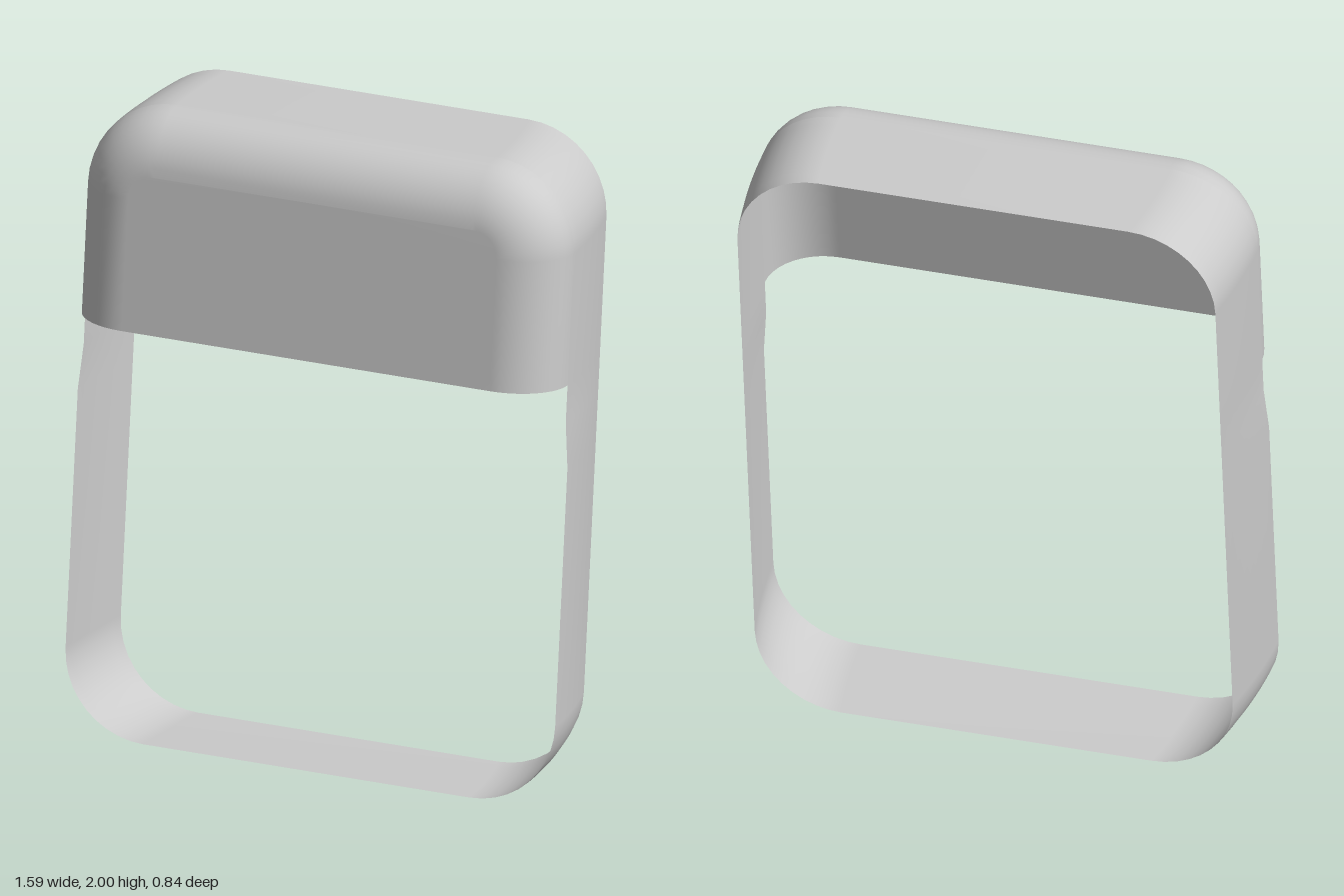
import * as THREE from 'three';

const CUT = 1.315;      // height of the cover's lower edge
const BACK = -0.047, RIM = 0.29, FRONT = 0.456;
const ARC = 10;         // segments per rounded corner
const CX = -0.016;      // centre of the frame across its width

// Rounded-rectangle outline, counterclockwise, starting at the right end of the cover edge.
// The lower side walls step out by flare.
function outline({ hx, top, bottom, r, flare = 0 }, z, coverOnly = false) {
  const pts = [];
  const add = (x, y) => pts.push(new THREE.Vector3(CX + x, y, z));
  const corner = (x, y, start) => {
    for (let i = 0; i <= ARC; i++) {
      const a = start + (i / ARC) * Math.PI / 2;
      add(x + r * Math.cos(a), y + r * Math.sin(a));
    }
  };
  add(hx, CUT);
  corner(hx - r, top - r, 0);
  corner(r - hx, top - r, Math.PI / 2);
  add(-hx, CUT);
  if (coverOnly) return pts;
  const wide = hx + flare;
  add(-hx, 1.2);
  add(-wide, 1.06);
  corner(r - wide, bottom + r, Math.PI);
  corner(wide - r, bottom + r, Math.PI * 1.5);
  add(wide, 1.06);
  add(hx, 1.2);
  return pts;
}

// Skin through successive outlines with shared, smooth vertices.
function loft(sections, closed) {
  const n = sections[0].length, index = [];
  for (let j = 0; j < sections.length - 1; j++) {
    for (let i = 0; i < (closed ? n : n - 1); i++) {
      const k = (i + 1) % n;
      const a = j * n + i, b = j * n + k, c = a + n, d = b + n;
      index.push(a, b, c, b, d, c);
    }
  }
  const g = new THREE.BufferGeometry().setFromPoints(sections.flat());
  g.setIndex(index);
  g.computeVertexNormals();
  return g;
}

export function createModel() {
  const model = new THREE.Group();
  const material = new THREE.MeshStandardMaterial({ color: 0xcccccc, side: THREE.DoubleSide });
  const addPart = (name, geometry) => {
    const mesh = new THREE.Mesh(geometry, material);
    mesh.name = name;
    model.add(mesh);
  };

  // Thin frame band, drawing in slightly toward the open back
  const band = [];
  for (let j = 0; j <= 8; j++) {
    const t = 1 - j / 8;
    band.push(outline({
      hx: 0.766 - 0.03 * t * t,
      top: 1.983 + 0.017 * t,
      bottom: -0.003 + 0.01 * t * t,
      r: 0.26,
      flare: 0.012 * (1 - t),
    }, THREE.MathUtils.lerp(RIM, BACK, t)));
  }
  addPart('frameBand', loft(band, true));

  // Front cover: rounded shoulder, then a flat face filled in to the centre line
  const cover = [];
  for (let j = 0; j <= 10; j++) {
    const a = (j / 10) * Math.PI / 2;
    const inset = 0.18 * (1 - Math.cos(a));
    cover.push(outline({ hx: 0.766 - inset, top: 1.983 - inset, bottom: 0, r: 0.26 - inset },
      RIM + (FRONT - RIM) * Math.sin(a), true));
  }
  cover.push(cover.at(-1).map((p) => new THREE.Vector3(CX, p.y, p.z)));
  addPart('frontCover', loft(cover, false));

  // Leaning back and turned to one side
  model.rotation.set(THREE.MathUtils.degToRad(-7), THREE.MathUtils.degToRad(12), 0, 'YXZ');
  const root = new THREE.Group();
  root.name = 'openFrame';
  root.add(model);
  return root;
}
